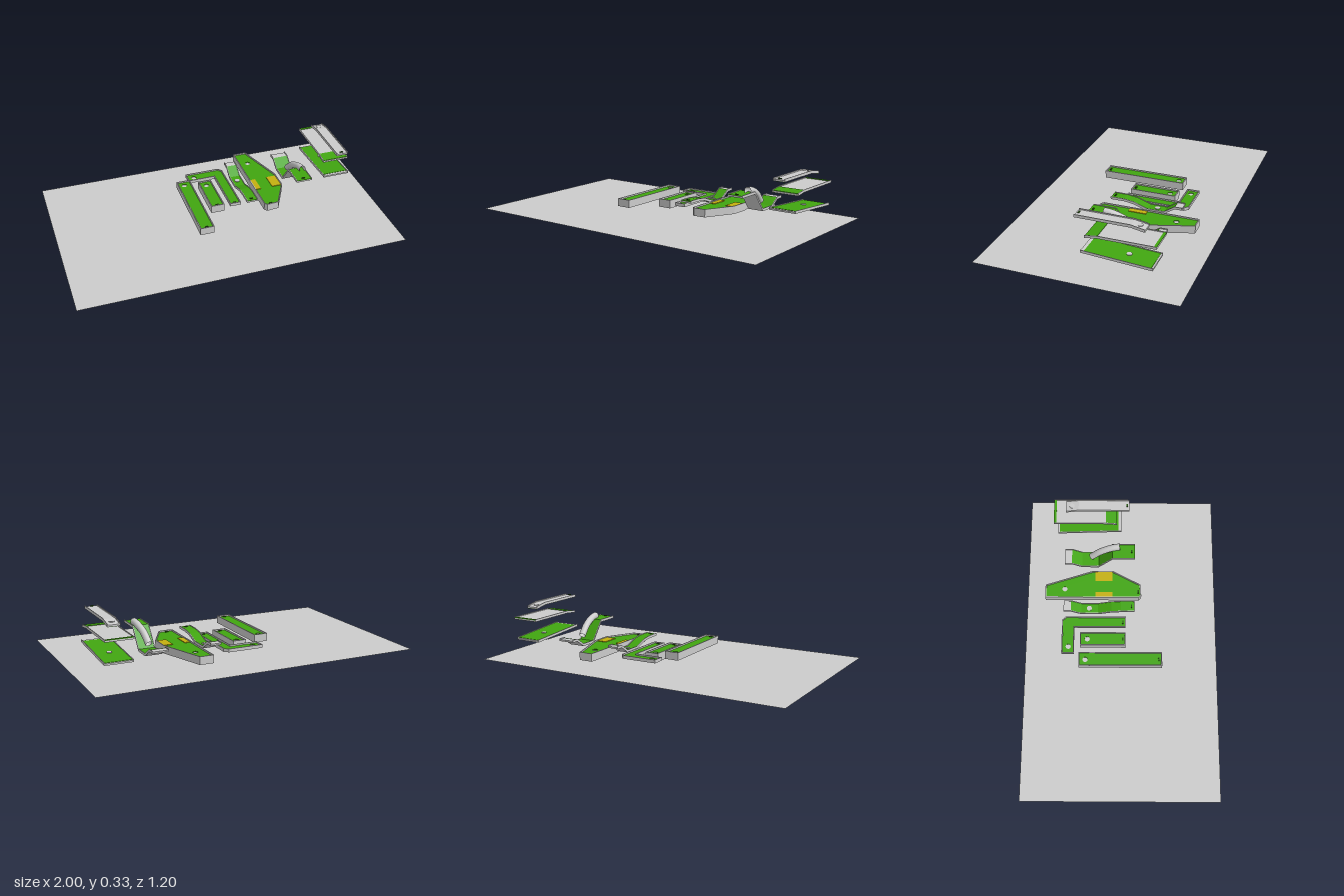
import * as THREE from 'three';

const grey = new THREE.MeshStandardMaterial({ color: 0xcccccc, side: THREE.DoubleSide });
const green = new THREE.MeshStandardMaterial({ color: 0x41a510, side: THREE.DoubleSide });
const yellow = new THREE.MeshStandardMaterial({ color: 0xc4b010, side: THREE.DoubleSide });
const dark = new THREE.MeshStandardMaterial({ color: 0x205008 });

const CUP = 0.016;
const RIM = 0.006;

function add(parent, name, geometry, material) {
  const mesh = new THREE.Mesh(geometry, material);
  mesh.name = name;
  parent.add(mesh);
  return mesh;
}

// Slab whose outline is seen from above, given as Vector2(x, -z)
function slab(points, y0, y1, holes = []) {
  const shape = new THREE.Shape(points);
  shape.holes = holes;
  const g = new THREE.ExtrudeGeometry(shape, { depth: y1 - y0, bevelEnabled: false, curveSegments: 16 });
  return g.rotateX(-Math.PI / 2).translate(0, y0, 0);
}

// Move every edge of an outline inwards by d
function inset(points, d) {
  const p = THREE.ShapeUtils.isClockWise(points) ? [...points].reverse() : points;
  return p.map((b, i) => {
    const a = p[(i + p.length - 1) % p.length], c = p[(i + 1) % p.length];
    const u = b.clone().sub(a).normalize(), v = c.clone().sub(b).normalize();
    const n = new THREE.Vector2(-u.y - v.y, u.x + v.x);
    return b.clone().addScaledVector(n, d / (1 + u.dot(v)));
  });
}

function tee(parent, x, y, z) {
  const t = add(parent, 'teeMarker', new THREE.BoxGeometry(0.02, 0.005, 0.008), dark);
  t.position.set(x, y + 0.0025, z);
}

// Flat lane: grey base, raised rim, and felt with a cup cut through it
function flatLane(name, outline, y0, y1, cup, teeAt) {
  const lane = new THREE.Group();
  lane.name = name;
  const outer = outline.map(([x, z]) => new THREE.Vector2(x, -z));
  const inner = inset(outer, RIM);
  const floor = y1 - 0.009;
  const hole = new THREE.Path().absarc(cup[0], -cup[1], CUP, 0, Math.PI * 2);
  add(lane, 'base', slab(outer, y0, floor - 0.004), grey);
  add(lane, 'rim', slab(outer, floor - 0.004, y1, [new THREE.Path(inner)]), grey);
  add(lane, 'felt', slab(inner, floor - 0.004, floor, [hole]), green);
  tee(lane, teeAt[0], floor, teeAt[1]);
  return lane;
}

// Strip that follows a profile of [z, y] points and spans x0 to x1
function strip(profile, x0, x1, below, above = 0) {
  const top = profile.map(([z, y]) => new THREE.Vector2(-z, y + above));
  const bottom = profile.map(([z, y]) => new THREE.Vector2(-z, y - below)).reverse();
  const g = new THREE.ExtrudeGeometry(new THREE.Shape([...top, ...bottom]), { depth: x1 - x0, bevelEnabled: false });
  return g.rotateY(Math.PI / 2).translate(x0, 0, 0);
}

// Sloping lane: floor strip, side rails and a felt layer
function slopedLane(name, profile, x0, x1, felt, rail = 0.006) {
  const lane = new THREE.Group();
  lane.name = name;
  add(lane, 'floor', strip(profile, x0, x1, 0.01), grey);
  add(lane, 'rail', strip(profile, x0, x0 + 0.004, 0.01, rail), grey);
  add(lane, 'rail', strip(profile, x1 - 0.004, x1, 0.01, rail), grey);
  if (felt) add(lane, 'felt', strip(felt, x0 + 0.004, x1 - 0.004, 0.001, 0.002), green);
  return lane;
}

function cupDisc(parent, x, y, z) {
  const c = add(parent, 'cup', new THREE.CylinderGeometry(CUP, CUP, 0.004, 24), grey);
  c.position.set(x, y + 0.002, z);
}

const rect = (x0, x1, z0, z1) => [[x0, z0], [x1, z0], [x1, z1], [x0, z1]];

export function createModel() {
  const model = new THREE.Group();
  model.name = 'miniatureGolfCourse';

  const ground = add(model, 'ground', new THREE.PlaneGeometry(2, 1.2), grey);
  ground.rotation.x = -Math.PI / 2;

  // Flat lanes: long, short, corner and wide
  model.add(flatLane('longLane', rect(-0.185, -0.098, -0.26, 0.255), 0.068, 0.115, [-0.145, -0.22], [-0.142, 0.235]));
  model.add(flatLane('shortLane', rect(-0.045, 0.04, -0.255, 0.03), 0.042, 0.092, [-0.002, -0.21], [-0.002, 0.012]));
  model.add(flatLane('cornerLane',
    [[-0.095, -0.37], [0.125, -0.37], [0.148, -0.345], [0.148, 0.03], [0.078, 0.03], [0.078, -0.292], [-0.095, -0.292]],
    0.065, 0.085, [-0.05, -0.328], [0.113, 0.012]));
  const wide = flatLane('wideLane',
    [[0.272, -0.48], [0.358, -0.48], [0.455, -0.18], [0.455, -0.055], [0.362, 0.122], [0.288, 0.128], [0.272, 0.112]],
    0.052, 0.1, [0.332, -0.358], [0.315, 0.108]);
  for (const [x0, x1] of [[0.279, 0.312], [0.388, 0.449]]) {
    const patch = add(wide, 'yellowPatch', new THREE.BoxGeometry(x1 - x0, 0.004, 0.108), yellow);
    patch.position.set((x0 + x1) / 2, 0.093, -0.11);
  }
  model.add(wide);

  // Narrow lane with a dip
  const dip = [[0.085, 0.12], [0, 0.12], [-0.06, 0.112], [-0.145, 0.082], [-0.25, 0.082], [-0.315, 0.125]];
  const narrow = slopedLane('dipLane', [...dip, [-0.36, 0.125]], 0.168, 0.238, dip);
  cupDisc(narrow, 0.203, 0.083, -0.2);
  tee(narrow, 0.203, 0.122, 0.066);
  model.add(narrow);

  // High lane dropping to a low green, with a tunnel tube above it
  const drop = [[0.085, 0.2], [-0.055, 0.2], [-0.145, 0.082], [-0.25, 0.082], [-0.315, 0.125]];
  const high = slopedLane('dropLane', [...drop, [-0.36, 0.125]], 0.493, 0.595, drop);
  tee(high, 0.544, 0.202, 0.066);
  const path = new THREE.CatmullRomCurve3([
    new THREE.Vector3(0.57, 0.217, -0.008), new THREE.Vector3(0.565, 0.208, -0.06),
    new THREE.Vector3(0.555, 0.177, -0.13), new THREE.Vector3(0.547, 0.122, -0.19)]);
  add(high, 'tunnelTube', new THREE.TubeGeometry(path, 32, 0.021, 24), grey);
  model.add(high);

  // Stacked lanes: lower slope, middle deck and upper lane
  const slope = [[0, 0.137], [-0.41, 0.11]];
  const lower = slopedLane('lowerSlope', slope, 0.72, 0.888, [[-0.02, 0.1357], [-0.4, 0.1107]]);
  cupDisc(lower, 0.804, 0.122, -0.25);
  model.add(lower);

  const deck = slopedLane('middleDeck', [[-0.028, 0.233], [-0.1, 0.243], [-0.43, 0.244]], 0.72, 0.888, null, 0.005);
  const edges = { lipFelt: [[-0.03, 0.2333], [-0.1, 0.243]], backFelt: [[-0.414, 0.244], [-0.43, 0.244]] };
  for (const [name, p] of Object.entries(edges)) add(deck, name, strip(p, 0.724, 0.884, 0.001, 0.003), green);
  model.add(deck);

  const upper = [[0.05, 0.32], [-0.27, 0.32], [-0.35, 0.305]];
  const top = slopedLane('upperLane', upper, 0.77, 0.845, null, 0.007);
  add(top, 'underside', strip(upper.map(([z, y]) => [z, y - 0.0095]), 0.774, 0.841, 0.002), green);
  cupDisc(top, 0.806, 0.312, -0.312);
  tee(top, 0.806, 0.322, 0.035);
  model.add(top);

  return model;
}
